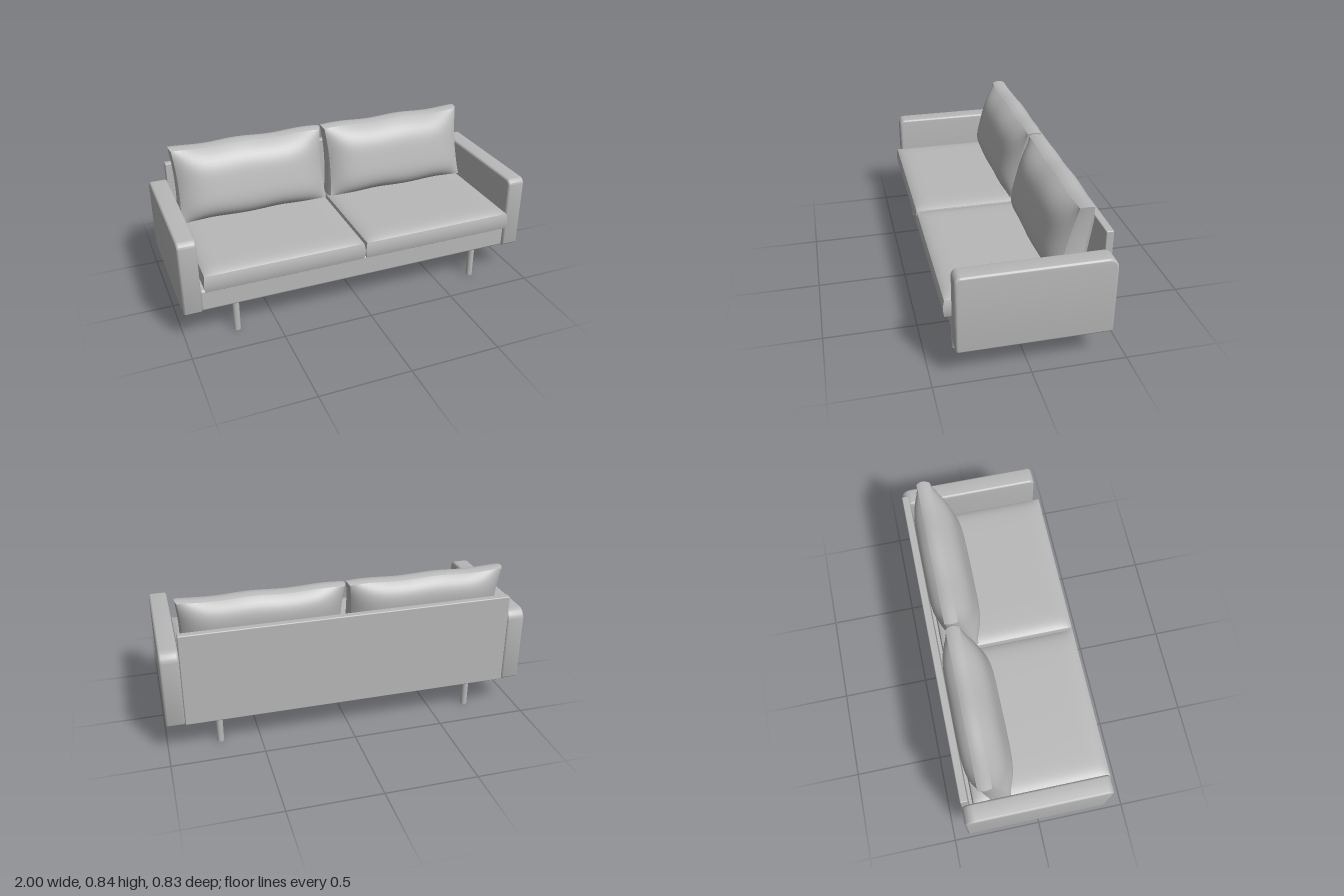
import * as THREE from 'three';
import { toCreasedNormals } from 'three/addons/utils/BufferGeometryUtils.js';
import { RoundedBoxGeometry } from 'three/addons/geometries/RoundedBoxGeometry.js';

const fabric = new THREE.MeshStandardMaterial({ color: 0xb8b8b8 });
fabric.name = 'grey fabric';

function addMesh(parent, name, geometry, x = 0, y = 0, z = 0) {
  const mesh = new THREE.Mesh(geometry, fabric);
  mesh.name = name;
  mesh.position.set(x, y, z);
  parent.add(mesh);
  return mesh;
}

// Box between two corners with softened edges
function addSlab(parent, name, min, max, radius) {
  const [w, h, d] = max.map((v, i) => v - min[i]);
  const [x, y, z] = max.map((v, i) => (v + min[i]) / 2);
  return addMesh(parent, name, new RoundedBoxGeometry(w, h, d, 3, radius), x, y, z);
}

// Boxed cushion lying in x/y: a border strip with a puffed panel on either side.
// Box faces keep separate normals, so the seams stay creased.
function cushionGeometry({ hw, hh, ht, puff, nu, nv, border, inset = 0, lean = 0, ripple = 0, phase = 0 }) {
  const g = new THREE.BoxGeometry(2, 2, 2, 32, 24, 8);
  const p = g.attributes.position;
  for (let i = 0; i < p.count; i++) {
    const u = Math.sin(p.getX(i) * Math.PI / 2);
    const v = Math.sin(p.getY(i) * Math.PI / 2);
    const w = p.getZ(i);
    const swell = border * (1 - w * w);
    const bulge = puff * (1 - Math.abs(u) ** nu) * (1 - Math.abs(v) ** nv);
    const x = u * (hw + swell - inset * (1 - v * v));
    const y = v * (hh + swell) + ripple * v * Math.sin(7 * u + phase);
    const z = w * (ht * (1 - lean * v) + bulge) - lean * y;
    p.setXYZ(i, x, y, z);
  }
  g.computeVertexNormals();
  return g;
}

// Arm side profile (drawn with front toward -x), extruded across its width
function armGeometry() {
  const b = 0.012, f = -0.38 + b, k = 0.415 - b, lo = 0.18 + b, hi = 0.608 - b;
  const rf = 0.022, rb = 0.045, r = 0.006;
  const s = new THREE.Shape();
  s.moveTo(f + r, lo);
  s.lineTo(k - r, lo);
  s.absarc(k - r, lo + r, r, -Math.PI / 2, 0);
  s.lineTo(k, hi - rb);
  s.absarc(k - rb, hi - rb, rb, 0, Math.PI / 2);
  s.lineTo(f + rf, hi);
  s.absarc(f + rf, hi - rf, rf, Math.PI / 2, Math.PI);
  s.lineTo(f, lo + r);
  s.absarc(f + r, lo + r, r, Math.PI, Math.PI * 1.5);
  const width = 0.1 - 2 * b;
  const g = new THREE.ExtrudeGeometry(s, {
    depth: width, bevelEnabled: true, bevelThickness: b, bevelSize: b, bevelSegments: 4, curveSegments: 8,
  });
  g.translate(0, 0, -width / 2);
  g.rotateY(Math.PI / 2);
  return toCreasedNormals(g, 0.7);
}

export function createModel() {
  const sofa = new THREE.Group();
  sofa.name = 'sofa';

  // Frame
  addSlab(sofa, 'base', [-0.905, 0.18, -0.4], [0.905, 0.305, 0.367], 0.014);
  addSlab(sofa, 'backPanel', [-0.9, 0.18, -0.415], [0.9, 0.7, -0.375], 0.006);

  const arm = armGeometry();
  const leg = new THREE.CylinderGeometry(0.019, 0.019, 0.19, 20);
  const seat = cushionGeometry({ hw: 0.437, hh: 0.38, ht: 0.047, puff: 0.021, nu: 14, nv: 14, border: 0.007 });
  seat.rotateX(-Math.PI / 2);

  for (const side of [1, -1]) {
    const label = side > 0 ? 'left' : 'right';
    addMesh(sofa, label + 'Arm', arm, side * 0.95);
    addMesh(sofa, label + 'SeatCushion', seat, side * 0.446, 0.368, 0.03);

    // Leaning back cushion
    const back = cushionGeometry({
      hw: 0.433, hh: 0.196, ht: 0.047, puff: 0.075, nu: 6, nv: 4, border: 0.009,
      inset: 0.014, lean: 0.2, ripple: 0.004, phase: side > 0 ? 0.6 : 2.4,
    });
    addMesh(sofa, label + 'BackCushion', back, side * 0.448, 0.63, -0.24);

    // Legs
    for (const z of [0.333, -0.33]) {
      addMesh(sofa, label + (z > 0 ? 'FrontLeg' : 'BackLeg'), leg, side * 0.717, 0.095, z);
    }
  }
  return sofa;
}
